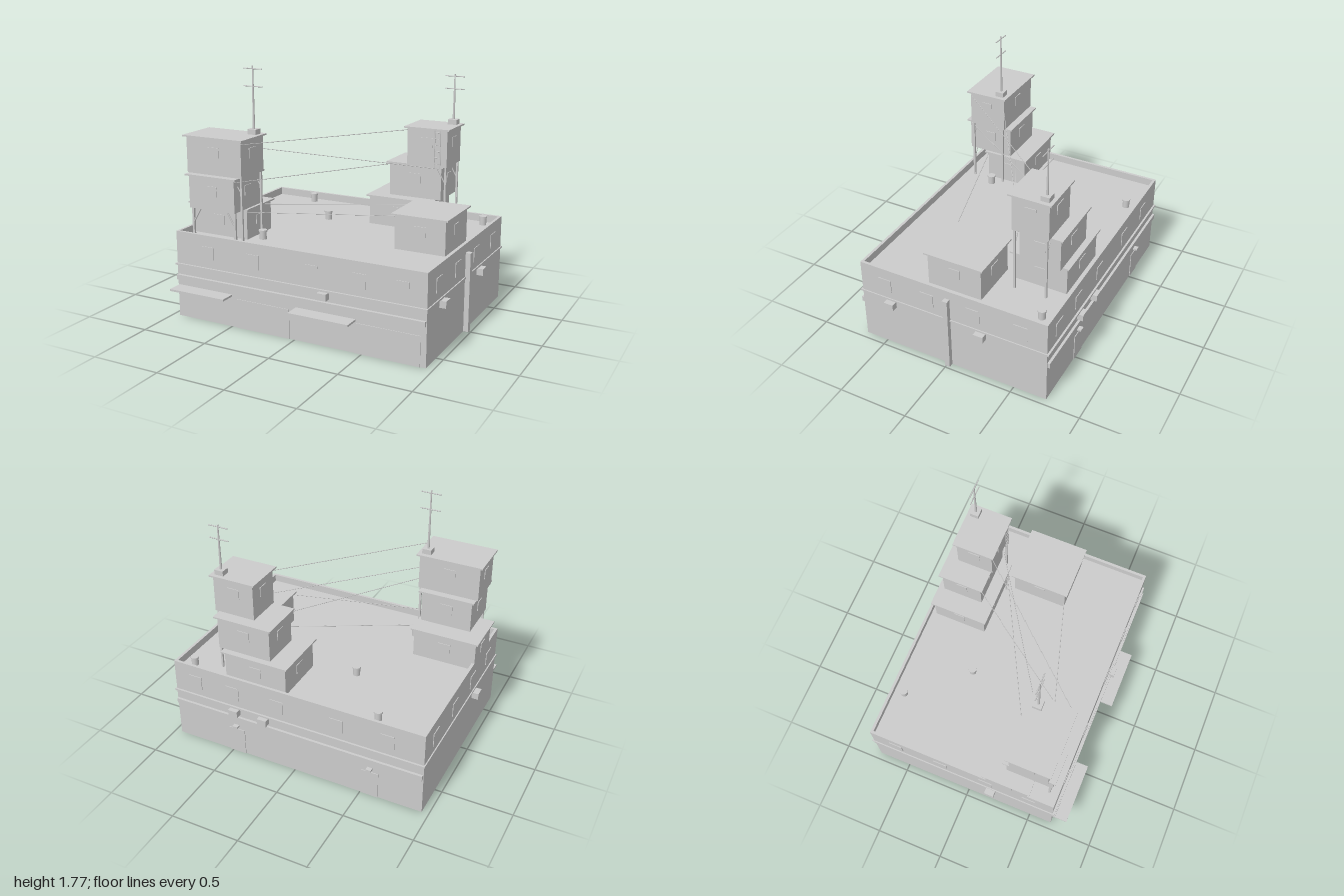
import * as THREE from 'three';

const concrete = new THREE.MeshStandardMaterial({ color: 0xcccccc });
concrete.name = 'pale grey';

function add(parent, name, geometry) {
  const mesh = new THREE.Mesh(geometry, concrete);
  mesh.name = name;
  parent.add(mesh);
  return mesh;
}

// Box given by its lower and upper limits on each axis
function block(parent, name, x0, x1, y0, y1, z0, z1) {
  const mesh = add(parent, name, new THREE.BoxGeometry(x1 - x0, y1 - y0, z1 - z0));
  mesh.position.set((x0 + x1) / 2, (y0 + y1) / 2, (z0 + z1) / 2);
  return mesh;
}

// Thin rod between two points
function rod(parent, name, a, b, radius, sides = 6) {
  const from = new THREE.Vector3(...a), to = new THREE.Vector3(...b);
  const dir = to.clone().sub(from);
  const mesh = add(parent, name, new THREE.CylinderGeometry(radius, radius, dir.length(), sides));
  mesh.position.copy(from).add(to).multiplyScalar(0.5);
  mesh.quaternion.setFromUnitVectors(new THREE.Vector3(0, 1, 0), dir.normalize());
  return mesh;
}

// Thin plate on a wall: axis and side pick the wall, u runs along it
function plate(parent, name, axis, wall, side, u, y, w, h) {
  const t = 0.005, a = side > 0 ? wall : wall - t, b = a + t;
  if (axis === 'z') block(parent, name, u - w / 2, u + w / 2, y, y + h, a, b);
  else block(parent, name, a, b, y, y + h, u - w / 2, u + w / 2);
}

// Hut with an overhanging flat roof, a window on each side and a door in front
function hut(parent, name, x0, x1, y0, y1, z0, z1) {
  const g = new THREE.Group();
  g.name = name;
  parent.add(g);
  block(g, 'hutWalls', x0, x1, y0, y1, z0, z1);
  block(g, 'hutRoof', x0 - 0.02, x1 + 0.02, y1, y1 + 0.011, z0 - 0.02, z1 + 0.02);
  const cx = (x0 + x1) / 2, cz = (z0 + z1) / 2, wy = y1 - 0.13;
  for (const [wall, side] of [[z0, -1], [z1, 1]]) plate(g, 'hutWindow', 'z', wall, side, cx, wy, 0.09, 0.07);
  for (const [wall, side] of [[x0, -1], [x1, 1]]) plate(g, 'hutWindow', 'x', wall, side, cz, wy, 0.08, 0.07);
}

// Antenna on a small plinth with two crossbars
function antenna(parent, x, z, base, top, bars) {
  const g = new THREE.Group();
  g.name = 'antenna';
  parent.add(g);
  block(g, 'plinth', x - 0.033, x + 0.033, base, base + 0.036, z - 0.031, z + 0.031);
  const h = top - base - 0.036;
  const pole = add(g, 'pole', new THREE.CylinderGeometry(0.005, 0.009, h, 8));
  pole.position.set(x, top - h / 2, z);
  for (const y of bars) rod(g, 'crossbar', [x - 0.073, y, z], [x + 0.073, y, z], 0.004);
}

function ladder(parent, x, z, y0, y1) {
  const g = new THREE.Group();
  g.name = 'ladder';
  parent.add(g);
  for (const s of [-1, 1]) rod(g, 'ladderRail', [x + s * 0.021, y0, z], [x + s * 0.021, y1, z], 0.003);
  for (let y = y0 + 0.03; y < y1; y += 0.045) rod(g, 'ladderRung', [x - 0.021, y, z], [x + 0.021, y, z], 0.0025);
}

export function createModel() {
  const model = new THREE.Group();
  model.name = 'rooftopBuilding';
  const X = 0.95, ZB = -0.74, ZF = 0.67, DECK = 0.575, TOP = 0.63;

  // Main block with a parapet around the deck
  block(model, 'mainBlock', -X, X, 0, DECK, ZB, ZF);
  for (const s of [-1, 1]) {
    const x = s * (X - 0.01);
    block(model, 'parapetSide', x - 0.01, x + 0.01, DECK, TOP, ZB, ZF);
  }
  block(model, 'parapetFront', -X + 0.02, X - 0.02, DECK, TOP, ZF - 0.02, ZF);
  block(model, 'parapetBack', -X + 0.02, X - 0.02, DECK, TOP, ZB, ZB + 0.02);

  // Ledge all round and the sign bands on front and back
  block(model, 'ledge', -X - 0.008, X + 0.008, 0.383, 0.396, ZB - 0.014, ZF + 0.014);
  block(model, 'frontBand', -0.945, 0.945, 0.278, 0.315, ZF, ZF + 0.022);
  block(model, 'backBand', -0.945, 0.945, 0.278, 0.315, ZB - 0.018, ZB);

  // Upper windows
  for (const x of [-0.69, -0.32, 0.13, 0.48, 0.78]) {
    plate(model, 'upperWindow', 'z', ZF, 1, x, 0.45, 0.1, 0.1);
    plate(model, 'upperWindow', 'z', ZB, -1, x, 0.45, 0.1, 0.1);
  }
  for (const z of [-0.55, -0.2, 0.15, 0.48]) {
    plate(model, 'upperWindow', 'x', X, 1, z, 0.45, 0.1, 0.1);
    plate(model, 'upperWindow', 'x', -X, -1, z, 0.45, 0.1, 0.1);
  }

  // Shop fronts, awnings, back doors and their lamps
  plate(model, 'shopFront', 'z', ZF, 1, -0.25, 0, 0.42, 0.21);
  plate(model, 'shopFront', 'z', ZF, 1, 0.68, 0, 0.46, 0.21);
  block(model, 'awning', -0.94, -0.495, 0.221, 0.235, ZF, 0.782);
  block(model, 'awning', 0.013, 0.457, 0.221, 0.235, ZF, 0.782);
  for (const x of [-0.57, 0.46]) {
    plate(model, 'backDoor', 'z', ZB, -1, x, 0, 0.125, 0.2);
    block(model, 'doorLamp', x - 0.019, x + 0.019, 0.222, 0.236, ZB - 0.03, ZB);
  }

  // Air conditioners and drainpipe
  block(model, 'airConditioner', 0.195, 0.262, 0.335, 0.383, ZF, 0.717);
  for (const x of [0.23, 0.46]) block(model, 'airConditioner', x - 0.035, x + 0.035, 0.335, 0.383, -0.786, ZB);
  for (const z of [0.435, -0.26]) block(model, 'airConditioner', X, 0.997, 0.335, 0.383, z - 0.036, z + 0.036);
  block(model, 'airConditioner', -1, -X, 0.335, 0.383, 0.157, 0.227);
  block(model, 'drainpipe', X, 0.985, 0, 0.565, -0.028, 0.01);

  // Roof vents
  for (const [x, z] of [[-0.58, -0.645], [0.84, -0.645], [-0.235, -0.25], [-0.405, 0.4]]) {
    const vent = add(model, 'roofVent', new THREE.CylinderGeometry(0.025, 0.025, 0.055, 12));
    vent.position.set(x, DECK + 0.0275, z);
    const cap = add(model, 'ventCap', new THREE.CylinderGeometry(0.03, 0.03, 0.012, 12));
    cap.position.set(x, DECK + 0.061, z);
  }

  // Front stack of huts
  hut(model, 'frontLowerHut', -0.95, -0.49, DECK, 0.788, 0.158, 0.47);
  hut(model, 'frontMiddleHut', -0.86, -0.49, 0.799, 1.03, 0.28, 0.62);
  hut(model, 'frontUpperHut', -0.89, -0.447, 1.041, 1.295, 0.312, 0.59);
  antenna(model, -0.49, 0.355, 1.306, 1.775, [1.755, 1.635]);
  for (const x of [-0.845, -0.5]) {
    block(model, 'stiltPost', x - 0.008, x + 0.008, DECK, 0.8, 0.592, 0.608);
    const dx = x < -0.6 ? 0.065 : -0.065;
    rod(model, 'stiltBrace', [x, 0.69, 0.6], [x + dx, 0.8, 0.6], 0.005);
  }
  for (const z of [0.575, 0.33]) {
    block(model, 'tallPost', -0.465, -0.451, DECK, 1.041, z - 0.007, z + 0.007);
    rod(model, 'tallBrace', [-0.458, 0.93, z], [-0.49, 0.98, z], 0.004);
  }

  // Back stack of huts
  hut(model, 'backLowerHut', 0.085, 0.555, DECK, 0.785, -0.685, -0.295);
  hut(model, 'backMiddleHut', 0.213, 0.612, 0.796, 1.035, -0.66, -0.365);
  hut(model, 'backUpperHut', 0.36, 0.662, 1.046, 1.31, -0.598, -0.335);
  antenna(model, 0.62, -0.56, 1.321, 1.68, [1.665, 1.575]);
  for (const z of [-0.35, -0.58]) {
    block(model, 'tallPost', 0.643, 0.657, DECK, 1.046, z - 0.007, z + 0.007);
    rod(model, 'tallBrace', [0.645, 0.93, z], [0.585, 1.035, z], 0.004);
  }
  ladder(model, 0.597, -0.318, 1.04, 1.31);
  ladder(model, 0.485, -0.278, DECK, 0.79);

  // Single hut on the right of the deck
  hut(model, 'sideHut', 0.5, 0.867, DECK, 0.815, -0.22, 0.178);

  // Wires strung between the stacks
  const wires = [
    [[-0.447, 1.275, 0.588], [0.36, 1.295, -0.335]],
    [[-0.447, 1.2, 0.312], [0.58, 1.03, -0.345]],
    [[-0.49, 1.015, 0.613], [0.213, 1.025, -0.365]],
    [[-0.49, 0.775, 0.47], [0.5, 0.805, 0.175]],
    [[-0.49, 0.777, 0.24], [0.53, 0.775, -0.295]],
  ];
  for (const [a, b] of wires) rod(model, 'wire', a, b, 0.0025, 5);

  return model;
}
